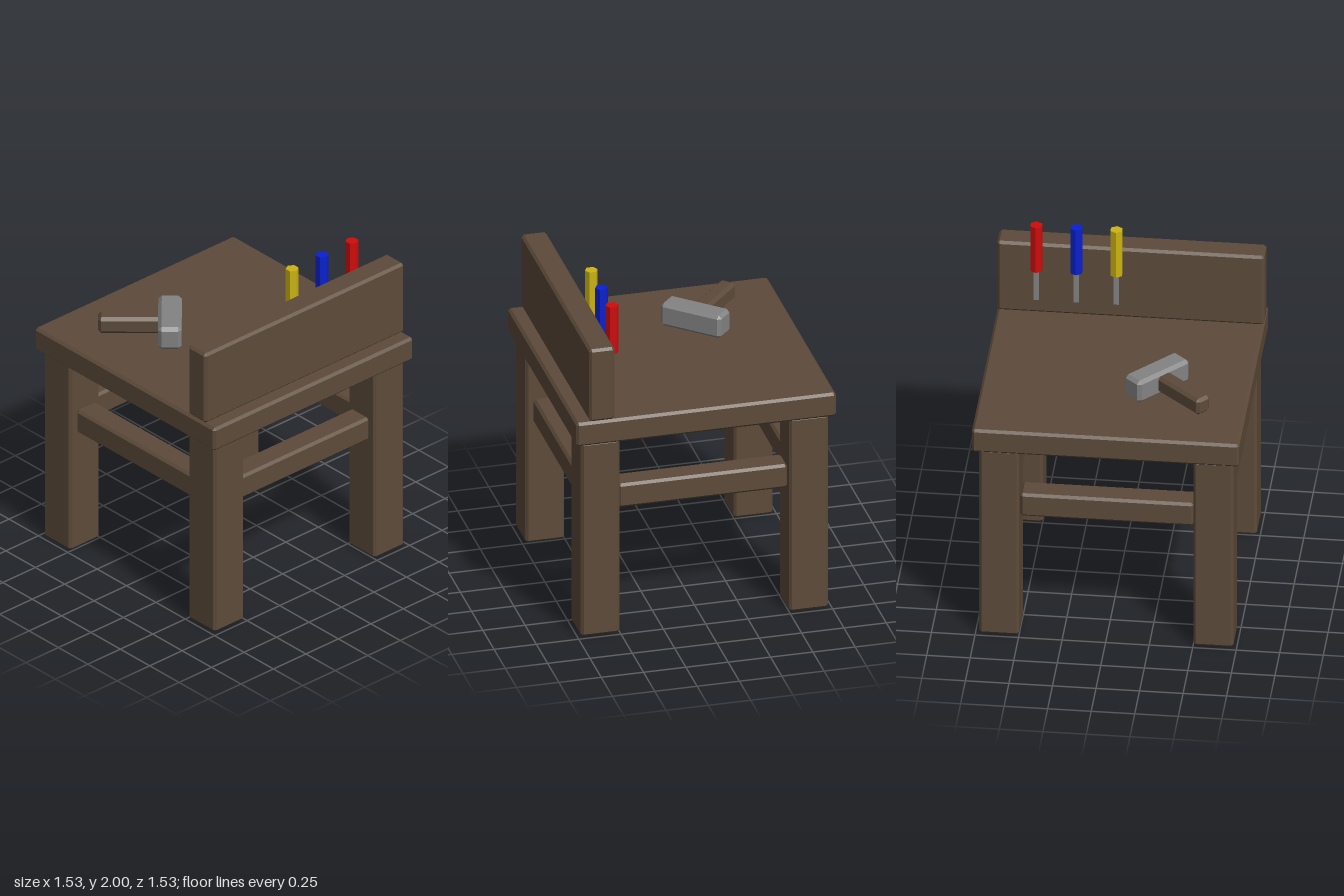
import * as THREE from 'three';
import { ConvexGeometry } from 'three/addons/geometries/ConvexGeometry.js';

function material(name, color) {
  const m = new THREE.MeshStandardMaterial({ color });
  m.name = name;
  return m;
}

// Box of the given full size with flat chamfered edges and corners
function chamferBox(w, h, d, c) {
  const [x, y, z] = [w / 2, h / 2, d / 2];
  const points = [];
  for (const sx of [-1, 1]) for (const sy of [-1, 1]) for (const sz of [-1, 1]) {
    points.push(
      new THREE.Vector3(sx * x, sy * (y - c), sz * (z - c)),
      new THREE.Vector3(sx * (x - c), sy * y, sz * (z - c)),
      new THREE.Vector3(sx * (x - c), sy * (y - c), sz * z));
  }
  return new ConvexGeometry(points);
}

export function createModel() {
  const wood = material('brown wood', 0x5d4b3a);
  const steel = material('grey steel', 0x838383);
  const red = material('red plastic', 0xd00c0c);
  const blue = material('blue plastic', 0x0a20d0);
  const yellow = material('yellow plastic', 0xccb412);

  const model = new THREE.Group();
  model.name = 'workbench';

  function add(parent, name, geometry, mat, x, y, z) {
    const mesh = new THREE.Mesh(geometry, mat);
    mesh.name = name;
    mesh.position.set(x, y, z);
    parent.add(mesh);
    return mesh;
  }

  // Bench top and upright board
  add(model, 'benchTop', chamferBox(1.535, 0.15, 1.535, 0.015), wood, 0, 1.31, 0);
  add(model, 'toolBoard', chamferBox(1.535, 0.46, 0.15, 0.015), wood, 0, 1.615, 0.615);

  // Four legs
  const legGeometry = chamferBox(0.23, 1.235, 0.23, 0.015);
  for (const sx of [-1, 1]) for (const sz of [-1, 1]) {
    add(model, 'leg', legGeometry, wood, sx * 0.615, 0.6175, sz * 0.615);
  }

  // Four rails between the legs
  const railGeometry = chamferBox(1.0, 0.15, 0.15, 0.015);
  for (const s of [-1, 1]) {
    add(model, 'crossRail', railGeometry, wood, 0, 0.85, s * 0.615);
    add(model, 'sideRail', railGeometry, wood, s * 0.615, 0.85, 0).rotation.y = Math.PI / 2;
  }

  // Hanging screwdrivers with hexagonal handles
  const gripGeometry = new THREE.CylinderGeometry(0.038, 0.038, 0.3, 6).toNonIndexed();
  gripGeometry.computeVertexNormals();
  const bladeGeometry = new THREE.BoxGeometry(0.03, 0.2, 0.015);
  [[0.075, yellow], [0.305, blue], [0.535, red]].forEach(([x, mat]) => {
    const driver = new THREE.Group();
    driver.name = 'screwdriver';
    driver.position.set(x, 0, 0.497);
    add(driver, 'screwdriverGrip', gripGeometry, mat, 0, 1.85, 0);
    add(driver, 'screwdriverBlade', bladeGeometry, steel, 0, 1.6, 0);
    model.add(driver);
  });

  // Hammer lying on the bench: head along local x, handle along local -z
  const hammer = new THREE.Group();
  hammer.name = 'hammer';
  hammer.position.set(-0.235, 1.457, -0.2);
  hammer.rotation.y = 0.83;
  add(hammer, 'hammerHead', chamferBox(0.39, 0.145, 0.135, 0.02), steel, 0, 0, 0);
  add(hammer, 'hammerHandle', chamferBox(0.1, 0.105, 0.41, 0.018), wood, 0, 0, -0.205);
  model.add(hammer);

  return model;
}
